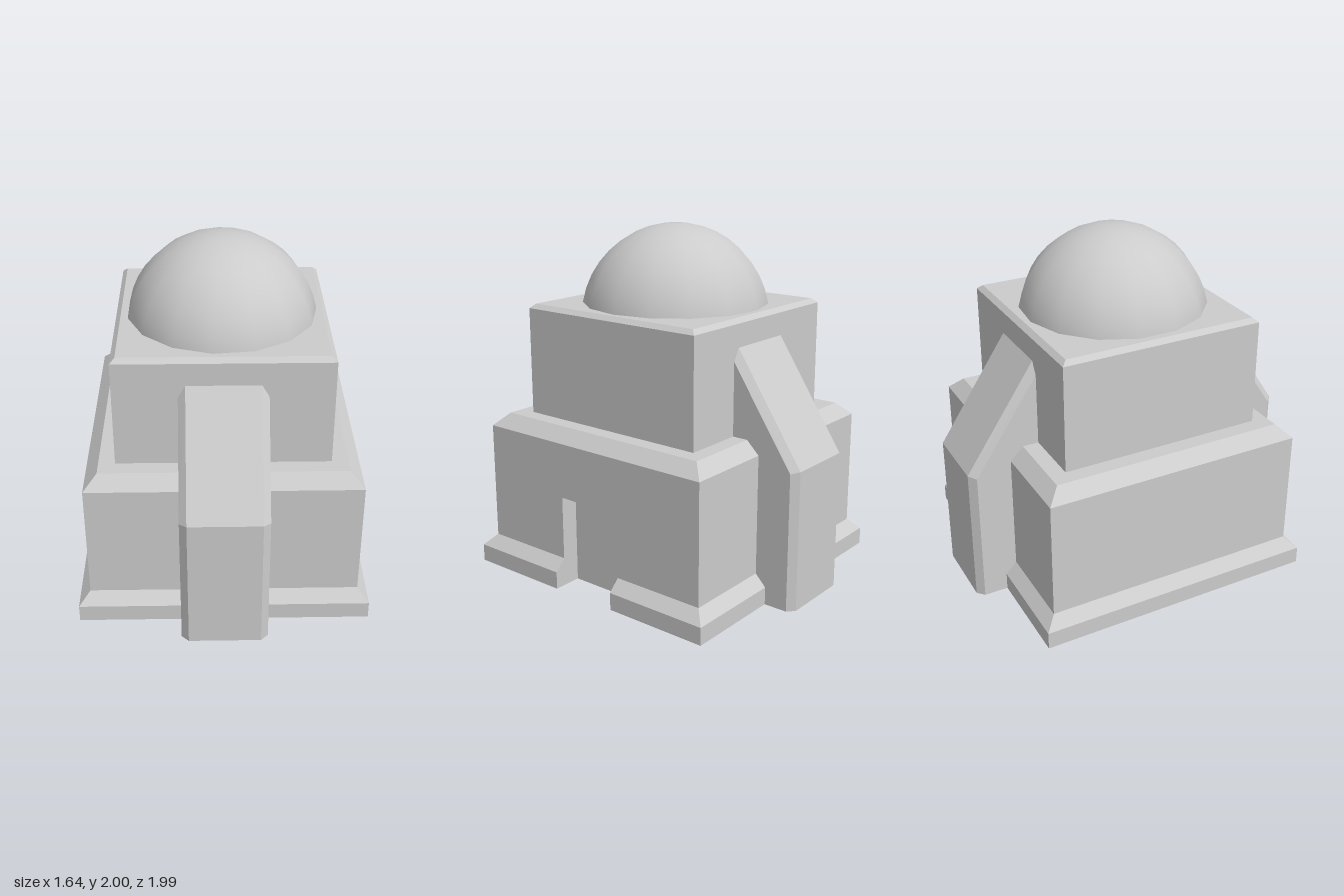
import * as THREE from 'three';

const material = new THREE.MeshStandardMaterial({ color: 0xcccccc, side: THREE.DoubleSide, flatShading: true });
const smooth = new THREE.MeshStandardMaterial({ color: 0xcccccc, side: THREE.DoubleSide });

// Wall profile from the ground up: [distance from centre, height]
const profile = [
  [0.818, 0], [0.818, 0.1], [0.755, 0.165], [0.755, 0.53], [0.755, 0.845], [0.68, 0.918],
  [0.588, 0.918], [0.588, 1.33], [0.588, 1.4], [0.588, 1.53], [0.56, 1.555],
];
const ROOF = 1.555;
const BUTTRESS = { half: 0.24, face: 0.2, front: 0.993, edge: 0.955, knee: 0.795 };
const DOOR = { half: 0.203, height: 0.53, back: 0.65 };
const DOME = { radius: 0.538, centre: 1.462, sides: 15 };

function addMesh(parent, name, geometry, mat = material) {
  const mesh = new THREE.Mesh(geometry, mat);
  mesh.name = name;
  parent.add(mesh);
  return mesh;
}

// Each quad lists its corners anticlockwise as seen from outside
function quadGeometry(quads) {
  const positions = [];
  for (const [a, b, c, d] of quads) positions.push(...a, ...b, ...c, ...a, ...c, ...d);
  const geometry = new THREE.BufferGeometry();
  geometry.setAttribute('position', new THREE.Float32BufferAttribute(positions, 3));
  geometry.computeVertexNormals();
  return geometry;
}

const shapeOf = (points) => new THREE.Shape(points.map(([x, y]) => new THREE.Vector2(x, y)));

// One stepped wall facing +z; gap(y) is the half width left open at a height
function wallGeometry(gap, gapTop) {
  const quads = [];
  for (let i = 0; i < profile.length - 1; i++) {
    const [o0, y0] = profile[i];
    const [o1, y1] = profile[i + 1];
    if (y1 <= gapTop) {
      const g0 = gap(y0), g1 = gap(y1);
      quads.push([[-o0, y0, o0], [-g0, y0, o0], [-g1, y1, o1], [-o1, y1, o1]]);
      quads.push([[g0, y0, o0], [o0, y0, o0], [o1, y1, o1], [g1, y1, o1]]);
    } else {
      quads.push([[-o0, y0, o0], [o0, y0, o0], [o1, y1, o1], [-o1, y1, o1]]);
    }
  }
  return quadGeometry(quads);
}

// Sloping buttress on the +z side, with chamfered front edges
function createButtress() {
  const group = new THREE.Group();
  const { half, face, front, edge, knee } = BUTTRESS;
  const wall = 0.588;
  const outer = [[0, front], [knee, front], [1.4, wall]];
  const inner = [[0, edge], [knee - 0.01, edge], [1.33, wall]];
  const quads = [];
  for (let i = 0; i < 2; i++) {
    const [y0, z0] = outer[i], [y1, z1] = outer[i + 1];
    const [v0, w0] = inner[i], [v1, w1] = inner[i + 1];
    quads.push([[-face, y0, z0], [face, y0, z0], [face, y1, z1], [-face, y1, z1]]);
    quads.push([[face, y0, z0], [half, v0, w0], [half, v1, w1], [face, y1, z1]]);
    quads.push([[-half, v0, w0], [-face, y0, z0], [-face, y1, z1], [-half, v1, w1]]);
  }
  addMesh(group, 'buttressFront', quadGeometry(quads));

  // Cheeks follow the wall profile on their inner edge
  const cheek = new THREE.ShapeGeometry(shapeOf([
    ...inner.map(([y, z]) => [z, y]),
    ...profile.slice(0, 7).reverse(),
  ]));
  for (const side of [-1, 1]) {
    const mesh = addMesh(group, 'buttressCheek', cheek);
    mesh.rotation.y = -Math.PI / 2;
    mesh.position.x = side * half;
  }
  return group;
}

// Shallow doorway on the +x side
function createDoorway() {
  const group = new THREE.Group();
  group.name = 'doorway';
  const { half: h, height: t, back: b } = DOOR;
  const face = 0.755;
  addMesh(group, 'doorBackAndLintel', quadGeometry([
    [[b, 0, h], [b, 0, -h], [b, t, -h], [b, t, h]],
    [[b, t, h], [b, t, -h], [face, t, -h], [face, t, h]],
  ]));
  const cheek = new THREE.ShapeGeometry(shapeOf([[b, 0], ...profile.slice(0, 4), [b, t]]));
  for (const side of [-1, 1]) addMesh(group, 'doorCheek', cheek).position.z = side * h;
  return group;
}

export function createModel() {
  const model = new THREE.Group();
  model.name = 'domedBuilding';

  // Four walls: front, left (with door), back, right
  const buttressGap = (y) => (y > 1.35 ? BUTTRESS.face : BUTTRESS.half);
  const names = ['frontWall', 'leftWall', 'backWall', 'rightWall'];
  names.forEach((name, i) => {
    const geometry = i % 2 === 0 ? wallGeometry(buttressGap, 1.4)
      : wallGeometry(() => DOOR.half, i === 1 ? DOOR.height : -1);
    addMesh(model, name, geometry).rotation.y = i * Math.PI / 2;
  });

  ['frontButtress', 'backButtress'].forEach((name, i) => {
    const buttress = createButtress();
    buttress.name = name;
    buttress.rotation.y = i * Math.PI;
    model.add(buttress);
  });

  model.add(createDoorway());

  // Flat roof, open beneath the dome
  const r = 0.56;
  const roofShape = shapeOf([[-r, -r], [r, -r], [r, r], [-r, r]]);
  const rise = ROOF - DOME.centre;
  const rim = Math.sqrt(DOME.radius ** 2 - rise ** 2);
  const hole = [];
  for (let i = 0; i < DOME.sides; i++) {
    const a = (i / DOME.sides) * Math.PI * 2;
    hole.push(new THREE.Vector2(rim * Math.cos(a), rim * Math.sin(a)));
  }
  roofShape.holes.push(new THREE.Path(hole));
  const roof = addMesh(model, 'roof', new THREE.ShapeGeometry(roofShape));
  roof.rotation.x = -Math.PI / 2;
  roof.position.y = ROOF;

  // Dome: upper part of a sphere
  const dome = addMesh(model, 'dome', new THREE.SphereGeometry(
    DOME.radius, DOME.sides, 9, 0, Math.PI * 2, 0, Math.acos(rise / DOME.radius)), smooth);
  dome.rotation.y = Math.PI;
  dome.position.y = DOME.centre;

  return model;
}
